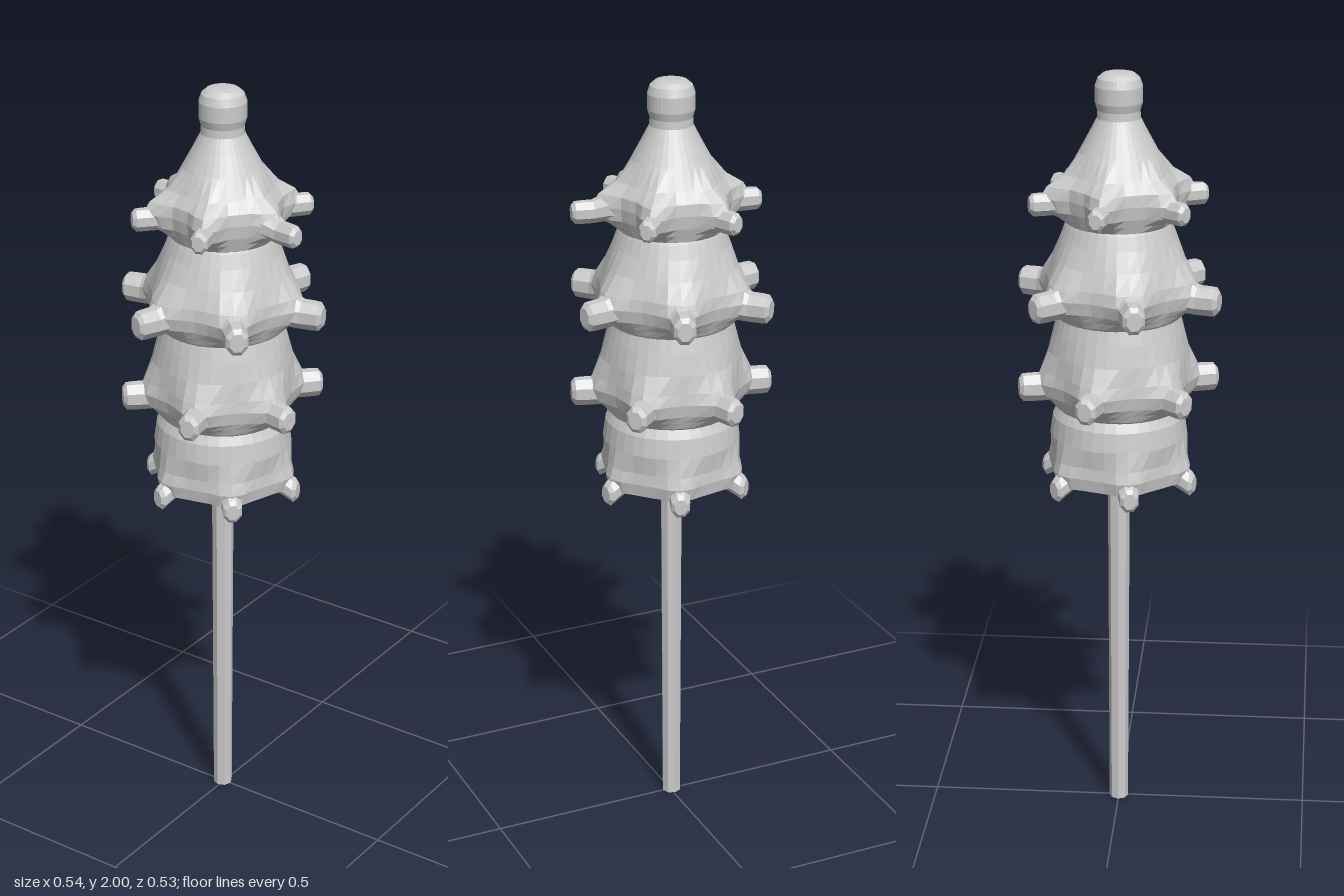
import * as THREE from 'three';

const material = new THREE.MeshStandardMaterial({ color: 0xcccccc, flatShading: true, roughness: 0.8 });
const rad = THREE.MathUtils.degToRad;

// Skin a list of equal-length point rings and cap both ends
function loft(rings) {
  const n = rings[0].length;
  const pos = rings.flat(2);
  const index = [];
  for (let i = 0; i < rings.length - 1; i++) {
    for (let j = 0; j < n; j++) {
      const k = (j + 1) % n;
      const a = i * n + j, b = i * n + k, c = a + n, d = b + n;
      index.push(a, c, b, b, c, d);
    }
  }
  const last = (rings.length - 1) * n;
  for (let j = 1; j < n - 1; j++) {
    index.push(0, j, j + 1);
    index.push(last, last + j + 1, last + j);
  }
  const geo = new THREE.BufferGeometry();
  geo.setAttribute('position', new THREE.Float32BufferAttribute(pos, 3));
  geo.setIndex(index);
  geo.computeVertexNormals();
  return geo;
}

// Star-shaped skirt: underside, flared rim at knob height, then the shoulder above it
function skirtGeometry({ y, radius, lobe, sharpness, offset, under, shoulder }) {
  const segments = 36;
  const rings = [ // height, radius, extra radius towards each knob
    ...under,
    [y - 0.018, radius * 0.97, lobe * 0.8],
    [y + 0.015, radius, lobe],
    [y + 0.045, radius * 0.985, lobe * 0.7],
    ...shoulder,
  ];
  return loft(rings.map(([h, r, extra = 0]) =>
    Array.from({ length: segments }, (_, j) => {
      const a = (j / segments) * Math.PI * 2;
      const R = r + extra * ((1 + Math.cos(6 * a)) / 2) ** sharpness;
      const t = a + rad(offset);
      return [Math.cos(t) * R, h, Math.sin(t) * R];
    })));
}

// Knob pointing along +x, flared at the root and blunt at the tip
function knobGeometry({ y, width, droop, reach }) {
  const sides = 8;
  const sections = [ // distance from tip, rise, width scale, height scale
    [0.12, 0.014, 2.1, 1.35],
    [0.085, 0.008, 1.5, 1.15],
    [0.055, 0, 1.08, 1],
    [0.025, -droop * 0.6, 1, 1],
    [0.009, -droop, 0.97, 0.97],
    [0, -droop, 0.65, 0.65],
  ];
  return loft(sections.map(([d, rise, ws, hs]) =>
    Array.from({ length: sides }, (_, j) => {
      const a = ((j + 0.5) / sides) * Math.PI * 2;
      return [reach - d, y + rise + Math.sin(a) * width * 1.25 * hs, Math.cos(a) * width * ws];
    })));
}

// Narrow collar and sloping underside of the three upper skirts
const collar = (y, r, lobe) => [[y - 0.07, r * 0.8], [y - 0.055, r * 0.89], [y - 0.037, r * 0.93, lobe * 0.3]];

const topTier = {
  name: 'topTier', offset: 10, y: 1.677, radius: 0.15, lobe: 0.055, sharpness: 2.5,
  width: 0.024, droop: 0, reach: 0.232, under: collar(1.677, 0.15, 0.055),
  shoulder: [[1.75, 0.127, 0.015], [1.8, 0.1], [1.85, 0.073], [1.885, 0.055], [1.905, 0.054],
    [1.925, 0.06], [1.965, 0.06], [1.985, 0.053], [1.996, 0.04], [2, 0.022]],
};
const upperTier = {
  name: 'upperTier', offset: -12.5, y: 1.437, radius: 0.184, lobe: 0.036, sharpness: 1.2,
  width: 0.031, droop: 0, reach: 0.271, under: collar(1.437, 0.184, 0.036),
  shoulder: [[1.53, 0.166, 0.008], [1.58, 0.149], [1.615, 0.136], [1.65, 0.12]],
};
const middleTier = {
  name: 'middleTier', offset: 15, y: 1.193, radius: 0.184, lobe: 0.033, sharpness: 1.2,
  width: 0.03, droop: 0, reach: 0.259, under: collar(1.193, 0.184, 0.033),
  shoulder: [[1.285, 0.177, 0.005], [1.34, 0.167], [1.38, 0.157], [1.4, 0.13]],
};
const bottomTier = {
  name: 'bottomTier', offset: -12, y: 0.965, radius: 0.174, lobe: 0.022, sharpness: 1.5,
  width: 0.027, droop: 0.024, reach: 0.21, under: [[0.96, 0.03], [0.957, 0.09], [0.94, 0.135, 0.015]],
  shoulder: [[1.06, 0.177], [1.11, 0.17], [1.15, 0.15]],
};

export function createModel() {
  const model = new THREE.Group();
  model.name = 'tieredSpike';

  // Thin stalk
  const stalk = new THREE.Mesh(new THREE.CylinderGeometry(0.029, 0.025, 0.97, 8), material);
  stalk.name = 'stalk';
  stalk.position.set(-0.004, 0.485, 0);
  model.add(stalk);

  for (const spec of [topTier, upperTier, middleTier, bottomTier]) {
    const tier = new THREE.Group();
    tier.name = spec.name;
    tier.position.x = -0.004;
    const skirt = new THREE.Mesh(skirtGeometry(spec), material);
    skirt.name = 'skirt';
    tier.add(skirt);

    // Six knobs around the skirt
    const geometry = knobGeometry(spec);
    for (let i = 0; i < 6; i++) {
      const knob = new THREE.Mesh(geometry, material);
      knob.name = 'knob';
      knob.rotation.y = -rad(spec.offset + i * 60);
      // The front-left knob of the top tier reaches further out
      if (spec === topTier && i === 0) knob.position.set(0.024, 0, 0.004);
      tier.add(knob);
    }
    model.add(tier);
  }
  return model;
}
